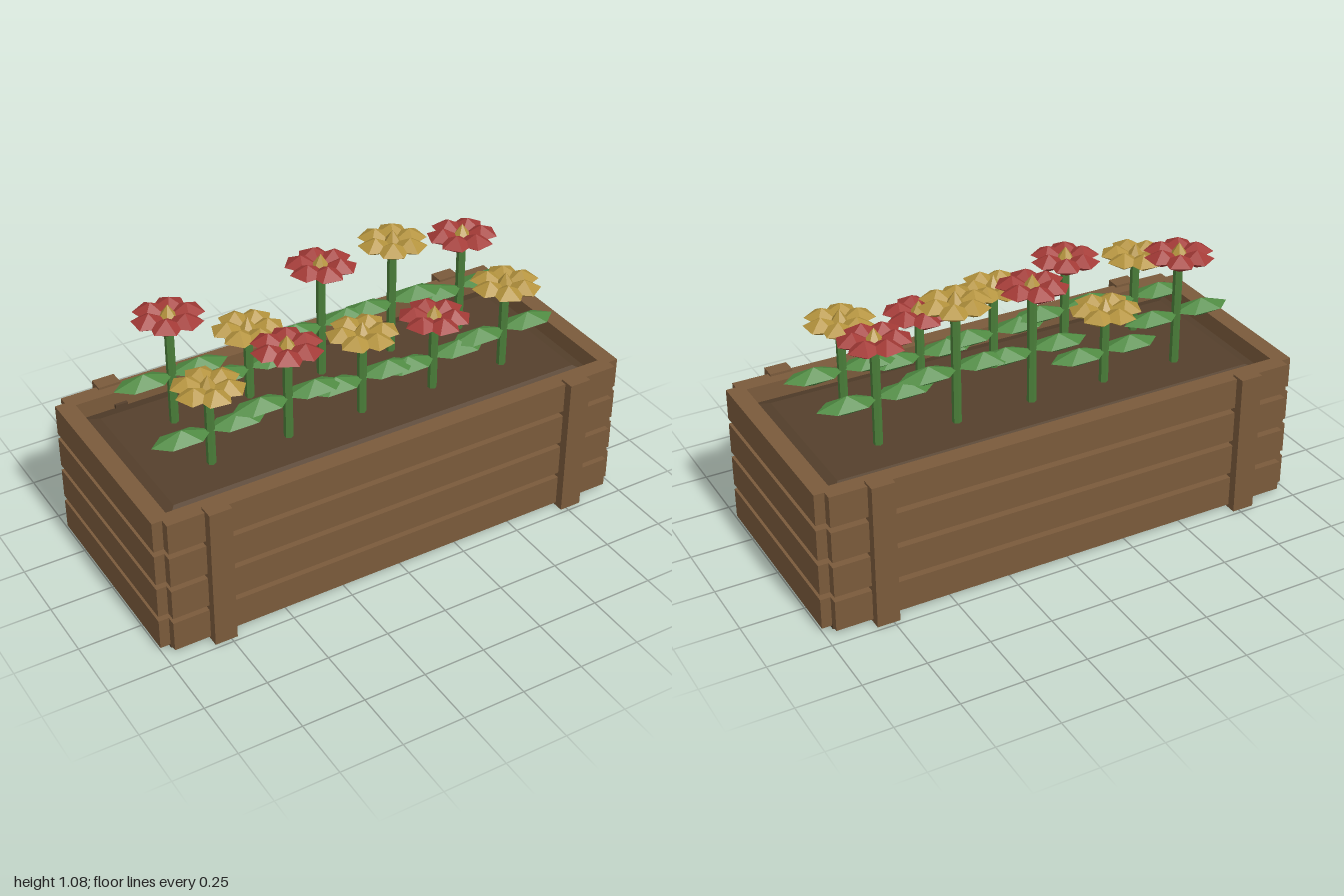
import * as THREE from 'three';

const material = (name, color) => {
  const m = new THREE.MeshStandardMaterial({ color, flatShading: true });
  m.name = name;
  return m;
};

export function createModel() {
  const model = new THREE.Group();
  model.name = 'flowerPlanter';

  const wood = material('wood', 0x7a5a3b);
  const earth = material('earth', 0x55402c);
  const red = material('red petals', 0xa33a36);
  const gold = material('gold petals', 0xb4933d);
  const leafGreen = material('leaf green', 0x4f8a42);
  const stemGreen = material('stem green', 0x4b7f3a);

  const add = (parent, name, geometry, mat, x, y, z) => {
    const mesh = new THREE.Mesh(geometry, mat);
    mesh.name = name;
    mesh.position.set(x, y, z);
    parent.add(mesh);
    return mesh;
  };

  // Crate: four rows of slats on every side, posts and floor
  const crate = new THREE.Group();
  crate.name = 'crate';
  model.add(crate);
  const longSlat = new THREE.BoxGeometry(1.92, 0.125, 0.07);
  const endSlat = new THREE.BoxGeometry(0.07, 0.125, 0.82);
  const post = new THREE.BoxGeometry(0.09, 0.59, 0.06);
  const nail = new THREE.BoxGeometry(0.05, 0.02, 0.015);
  for (const side of [-1, 1]) {
    for (let row = 0; row < 4; row++) {
      const y = 0.076 + row * 0.1473;
      add(crate, 'longSlat', longSlat, wood, 0, y, side * 0.412);
      add(crate, 'endSlat', endSlat, wood, side * 0.965, y, 0);
    }
    for (const end of [-1, 1]) add(crate, 'post', post, wood, end * 0.77, 0.295, side * 0.453);
    add(crate, 'nail', nail, earth, side * 0.75, 0.52, -0.372);
  }
  add(crate, 'floor', new THREE.BoxGeometry(1.92, 0.02, 0.83), earth, 0, 0.01, 0);

  // Soil: a slab with wide bevels above and below
  const soil = new THREE.BoxGeometry(1.86, 0.09, 0.76, 1, 3, 1);
  const p = soil.attributes.position;
  for (let i = 0; i < p.count; i++) {
    if (Math.abs(p.getY(i)) > 0.04) {
      p.setX(i, Math.sign(p.getX(i)) * 0.865);
      p.setZ(i, Math.sign(p.getZ(i)) * 0.305);
    }
  }
  soil.computeVertexNormals();
  add(model, 'soil', soil, earth, 0, 0.495, 0);

  // Faceted double pyramids for leaves, petals and flower centres
  const leaf = new THREE.SphereGeometry(1, 6, 2).scale(0.12, 0.038, 0.06);
  const petal = new THREE.SphereGeometry(1, 5, 2).scale(0.067, 0.036, 0.067);
  const centre = new THREE.SphereGeometry(1, 6, 2).scale(0.036, 0.05, 0.036);
  const PETALS = 6;

  const addPlant = (x, z, height, petals, turn) => {
    const plant = new THREE.Group();
    plant.name = 'flower';
    plant.position.set(x, 0, z);
    model.add(plant);

    const length = height - 0.5;
    add(plant, 'stem', new THREE.CylinderGeometry(0.018, 0.018, length, 6), stemGreen, 0, 0.5 + length / 2, 0);
    for (const side of [-1, 1]) {
      add(plant, 'leaf', leaf, leafGreen, side * 0.113, 0.5 + length / 2, 0);
    }

    const head = new THREE.Group();
    head.name = 'flowerHead';
    head.position.y = height;
    head.rotation.y = turn;
    plant.add(head);
    for (let i = 0; i < PETALS; i++) {
      const a = (i / PETALS) * Math.PI * 2;
      // flat side of each petal outline faces outward
      const mesh = add(head, 'petal', petal, petals, Math.cos(a) * 0.076, 0, -Math.sin(a) * 0.076);
      mesh.rotation.y = a;
    }
    add(head, 'flowerCentre', centre, gold, 0, 0, 0);
  };

  // Two rows of five flowers in alternating colours
  const columns = [-0.635, -0.315, 0, 0.315, 0.635];
  const rows = [
    { z: -0.15, heights: [1.0, 0.845, 1.02, 1.03, 0.965], colours: [red, gold] },
    { z: 0.15, heights: [0.87, 0.93, 0.885, 0.855, 0.9], colours: [gold, red] },
  ];
  rows.forEach(({ z, heights, colours }, r) => {
    columns.forEach((x, i) => addPlant(x, z, heights[i], colours[i % 2], i * 0.7 + r * 0.4));
  });

  return model;
}
